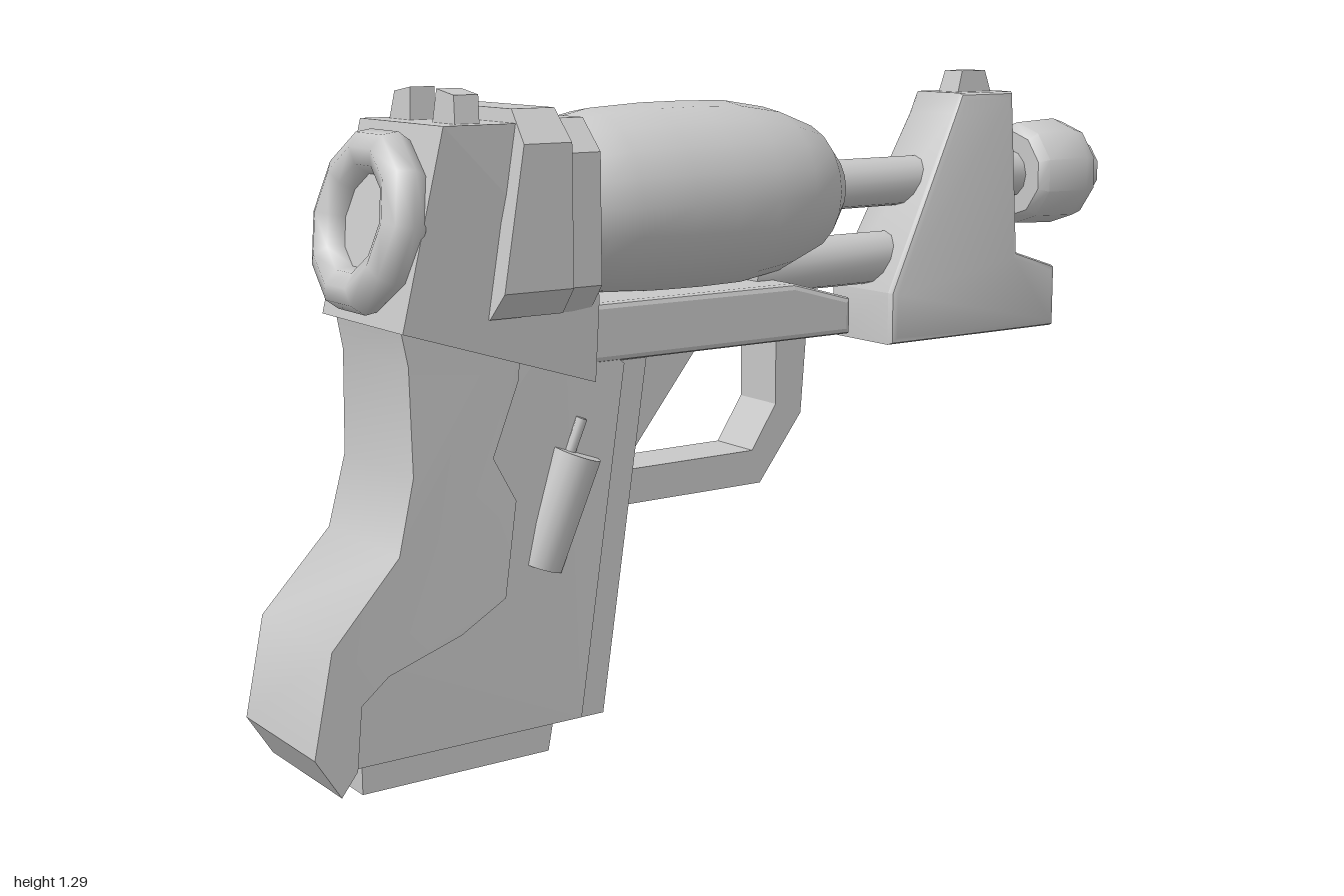
import * as THREE from 'three';
import { toCreasedNormals } from 'three/addons/utils/BufferGeometryUtils.js';

const grey = new THREE.MeshStandardMaterial({ color: 0xc8c8c8 });
grey.name = 'light grey';

export function createModel() {
  const group = new THREE.Group();
  group.name = 'pistol';

  function add(name, geometry, x = 0, y = 0, z = 0) {
    const mesh = new THREE.Mesh(geometry, grey);
    mesh.name = name;
    mesh.position.set(x, y, z);
    group.add(mesh);
    return mesh;
  }

  const toShape = (pts) => new THREE.Shape(pts.map(([a, b]) => new THREE.Vector2(a, b)));

  // Side profile in (z, y), extruded across x to the given half width
  function side(pts, half, bevel = 0) {
    const g = new THREE.ExtrudeGeometry(toShape(pts), {
      depth: 2 * (half - bevel), bevelEnabled: bevel > 0, bevelThickness: bevel,
      bevelSize: bevel, bevelOffset: -bevel, bevelSegments: 2,
    });
    g.translate(0, 0, bevel - half);
    return g.rotateY(-Math.PI / 2);
  }

  // Move every vertex by a rule
  function warp(g, rule) {
    const p = g.attributes.position, v = new THREE.Vector3();
    for (let i = 0; i < p.count; i++) {
      rule(v.fromBufferAttribute(p, i));
      p.setXYZ(i, v.x, v.y, v.z);
    }
    g.computeVertexNormals();
    return g;
  }

  // Turned part along z, profile points are (radius, z) with z rising
  const turned = (pts, sides) => new THREE.LatheGeometry(
    pts.map(([r, z]) => new THREE.Vector2(r, z)), sides).rotateX(Math.PI / 2);

  // Grip, flaring a little towards the bottom
  const flare = (v) => { v.x *= 1 + 0.15 * THREE.MathUtils.clamp((0.85 - v.y) / 0.5, 0, 1); };
  const strap = [[0.8, 0.88], [0.785, 0.8], [0.785, 0.6], [0.82, 0.46], [0.96, 0.31], [1, 0.117],
    [0.95, 0.037], [0.917, 0.08], [0.905, 0.2], [0.85, 0.245], [0.7, 0.295], [0.605, 0.35],
    [0.575, 0.53], [0.62, 0.615], [0.56, 0.755], [0.55, 0.88]];
  add('gripBackstrap', toCreasedNormals(warp(side(strap, 0.128), flare), 0.6));
  add('gripPanel', warp(side([[0.77, 0.86], [0.77, 0.6], [0.81, 0.45], [0.94, 0.3], [0.93, 0.08],
    [0.435, 0.08], [0.32, 0.76], [0.45, 0.86]], 0.117), flare));
  add('gripFrontStrip', side([[0.45, 0.07], [0.37, 0.07], [0.26, 0.78], [0.34, 0.78]], 0.11));
  add('magazine', side([[0.87, 0], [0.47, 0], [0.45, 0.1], [0.87, 0.1]], 0.067));

  // Small canister and pin leaning on the left side of the grip
  const lean = new THREE.Vector3(0.025, 0.21, -0.075).normalize();
  const canister = add('gripCanister', new THREE.CylinderGeometry(0.05, 0.05, 0.225, 16), 0.11, 0.495, 0.47);
  const pin = add('canisterPin', new THREE.CylinderGeometry(0.011, 0.011, 0.1, 8), 0.124, 0.62, 0.44);
  for (const m of [canister, pin]) m.quaternion.setFromUnitVectors(new THREE.Vector3(0, 1, 0), lean);

  // Rear receiver, narrowing below the grip joint
  add('receiver', warp(side([[0.72, 1.225], [0.5, 1.225], [0.4, 0.9], [0.4, 0.735], [0.81, 0.865]], 0.16),
    (v) => { if (v.y < 0.86) v.x *= 0.9; }));

  // Rear ring and its inner disc, tilted back
  const ring = add('rearRing', new THREE.TorusGeometry(0.132, 0.043, 8, 10), 0, 1.05, 0.79);
  ring.rotation.x = -0.23;
  const disc = add('rearDisc', new THREE.CylinderGeometry(0.1, 0.11, 0.04, 10), 0, 1.05, 0.77);
  disc.rotation.x = Math.PI / 2 - 0.23;

  // Tapered rear sights
  for (const s of [-1, 1]) {
    add('rearSight', warp(new THREE.BoxGeometry(0.09, 0.08, 0.05), (v) => {
      if (v.y > 0) { v.x = v.x * 0.7 - s * 0.004; v.z -= 0.008; v.y -= s * v.x * 0.15; }
    }), s * 0.085, 1.24, 0.655);
  }

  // Chamfered collars between receiver and chamber
  function collar(name, half, bottom, top, z0, z1, slant) {
    const pts = [[half, bottom + 0.05], [half, top - 0.06], [half - 0.06, top], [0.06 - half, top],
      [-half, top - 0.06], [-half, bottom + 0.05], [0.04 - half, bottom], [half - 0.04, bottom]];
    const g = new THREE.ExtrudeGeometry(toShape(pts), { depth: z1 - z0, bevelEnabled: false });
    g.translate(0, 0, z0);
    add(name, warp(g, (v) => { if (v.z > z1 - 0.01) v.z += (top - v.y) * slant; }));
  }
  collar('rearCollar', 0.199, 0.875, 1.25, 0.48, 0.57, 0.17);
  collar('frontCollar', 0.192, 0.875, 1.23, 0.415, 0.5, 0);

  // Bulging chamber
  const chamber = turned([[0, -0.27], [0.055, -0.27], [0.085, -0.245], [0.135, -0.19], [0.168, -0.1],
    [0.184, 0], [0.186, 0.1], [0.185, 0.2], [0.178, 0.32], [0.165, 0.38], [0.145, 0.43]], 20);
  add('chamber', toCreasedNormals(chamber.scale(1.08, 1, 1), 0.8), 0, 1.06, 0);

  // Barrel and lower rod
  const rod = (r, z0, z1) => turned([[0, z0], [r, z0], [r, z1], [0, z1]], 12);
  add('barrel', toCreasedNormals(rod(0.052, -0.85, -0.2), 0.8), 0, 1.06, 0);
  add('lowerRod', toCreasedNormals(rod(0.055, -0.45, -0.05), 0.8), 0, 0.9, 0);

  // Muzzle tip
  add('muzzle', toCreasedNormals(turned([[0, -1], [0.068, -1], [0.075, -0.96], [0.108, -0.95],
    [0.117, -0.92], [0.112, -0.81], [0.095, -0.79], [0, -0.79]], 10), 0.7), 0, 1.06, 0);

  // Rail under the chamber
  add('lowerRail', side([[0.42, 0.88], [-0.09, 0.88], [-0.235, 0.84], [-0.235, 0.765], [0.41, 0.765]], 0.125, 0.012));

  // Front sight block, narrowing towards the top
  add('frontBlock', toCreasedNormals(warp(side([[-0.575, 1.245], [-0.725, 1.245], [-0.725, 0.897],
    [-0.84, 0.86], [-0.84, 0.725], [-0.365, 0.725], [-0.365, 0.835], [-0.555, 1.2]], 0.103, 0.015),
    (v) => { if (v.y > 1.15) v.x *= 0.75; }), 0.6));
  add('frontSight', warp(new THREE.BoxGeometry(0.065, 0.07, 0.11),
    (v) => { if (v.y > 0) { v.x *= 0.85; v.z *= 0.6; } }), 0, 1.255, -0.65);

  // Trigger guard and trigger
  add('triggerGuard', side([[-0.17, 0.78], [-0.155, 0.6], [-0.05, 0.465], [0.32, 0.465], [0.32, 0.535],
    [-0.03, 0.535], [-0.09, 0.625], [-0.09, 0.78]], 0.06));
  add('trigger', side([[0.28, 0.78], [0.08, 0.77], [0.27, 0.535], [0.3, 0.535]], 0.035));

  return group;
}
